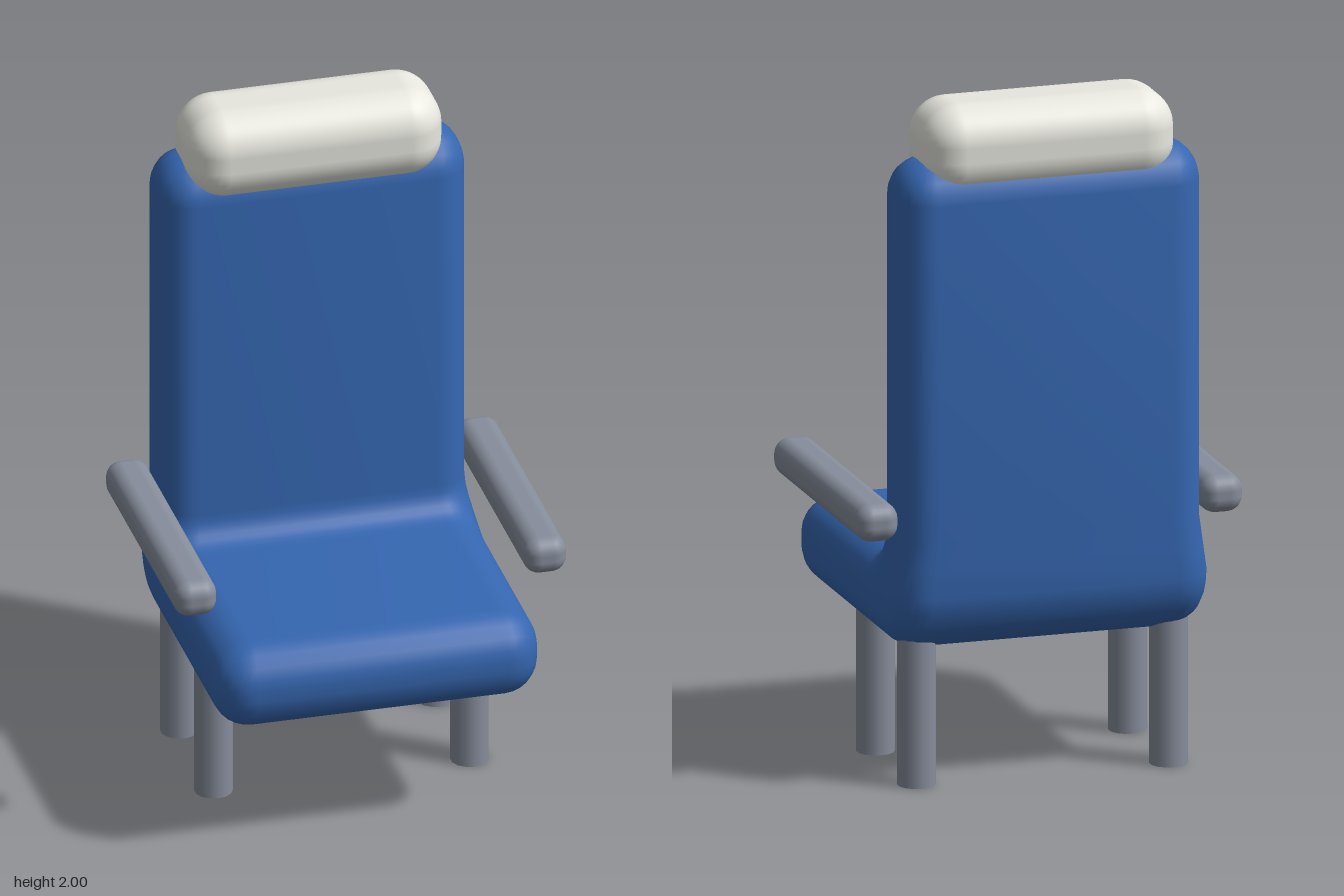
import * as THREE from 'three';
import { toCreasedNormals } from 'three/addons/utils/BufferGeometryUtils.js';
import { RoundedBoxGeometry } from 'three/addons/geometries/RoundedBoxGeometry.js';

const blue = new THREE.MeshStandardMaterial({ color: 0x3566b0 });
const white = new THREE.MeshStandardMaterial({ color: 0xe8e8e0 });
const grey = new THREE.MeshStandardMaterial({ color: 0x868d9b });

// Points along a circular arc, angles in quarter turns
function arc(cx, cy, r, from, to, steps = 5) {
  return Array.from({ length: steps + 1 }, (_, i) => {
    const a = (from + (to - from) * i / steps) * Math.PI / 2;
    return new THREE.Vector2(cx + r * Math.cos(a), cy + r * Math.sin(a));
  });
}

function addMesh(parent, name, geometry, material, x = 0, y = 0, z = 0) {
  const mesh = new THREE.Mesh(geometry, material);
  mesh.name = name;
  mesh.position.set(x, y, z);
  parent.add(mesh);
  return mesh;
}

// One L-shaped cushion: a thin side profile (z, y) swollen by a round bevel
function cushionGeometry() {
  const bevel = 0.1;
  const profile = [
    ...arc(0.37, 0.52, 0.02, -1, 0),
    ...arc(0.37, 0.54, 0.02, 0, 1),
    ...arc(-0.15, 0.74, 0.18, -1, -2, 7), // hollow between seat and back
    ...arc(-0.35, 1.72, 0.02, 0, 1),
    ...arc(-0.37, 1.72, 0.02, 1, 2),
    new THREE.Vector2(-0.39, 0.74),
    new THREE.Vector2(-0.39, 0.66),
    ...arc(-0.31, 0.58, 0.08, 2, 3),
  ];
  const geometry = new THREE.ExtrudeGeometry(new THREE.Shape(profile), {
    depth: 0.9 - 2 * bevel, bevelSize: bevel, bevelThickness: bevel, bevelSegments: 7,
  });
  geometry.translate(0, 0, -0.45 + bevel);
  geometry.rotateY(-Math.PI / 2);

  // The seat is slightly wider than the back
  const p = geometry.attributes.position;
  for (let i = 0; i < p.count; i++) {
    const widen = 1 - THREE.MathUtils.smoothstep(p.getY(i), 0.58, 0.74);
    p.setX(i, p.getX(i) * (1 + 0.05 * widen));
  }
  return toCreasedNormals(geometry, 0.7);
}

export function createModel() {
  const chair = new THREE.Group();
  chair.name = 'chair';

  addMesh(chair, 'seatAndBack', cushionGeometry(), blue);
  addMesh(chair, 'headrest', new RoundedBoxGeometry(0.75, 0.265, 0.301, 5, 0.11), white, 0, 1.8675, -0.3415);

  const armGeometry = new RoundedBoxGeometry(0.125, 0.11, 0.825, 3, 0.045);
  const legGeometry = new THREE.CylinderGeometry(0.055, 0.055, 0.46, 14);
  for (const [side, s] of [['left', 1], ['right', -1]]) {
    addMesh(chair, side + 'Armrest', armGeometry, grey, s * 0.5125, 0.795, -0.0375);
    addMesh(chair, side + 'FrontLeg', legGeometry, grey, s * 0.375, 0.23, 0.022);
    addMesh(chair, side + 'BackLeg', legGeometry, grey, s * 0.375, 0.23, -0.355);
  }
  return chair;
}
